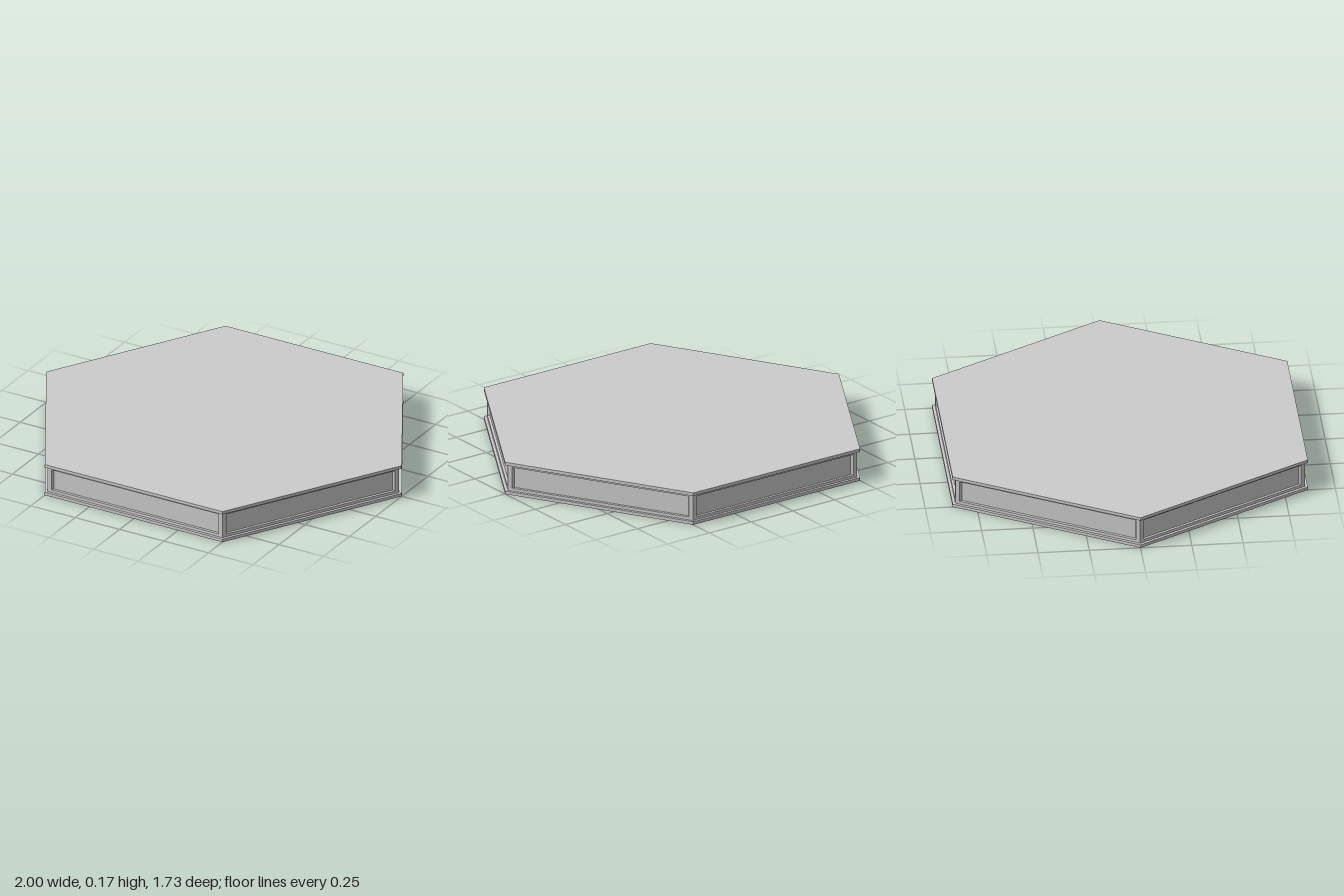
import * as THREE from 'three';

const HEIGHT = 0.166, PLATE = 0.016, APOTHEM = 0.852, RECESS = 0.012;
const HALF_EDGE = APOTHEM * Math.tan(Math.PI / 6);

// One flat wall facing +z, stepped inwards through nested rectangles and closed by the last one
function recessedWall() {
  const rects = [
    { w: HALF_EDGE, y0: PLATE, y1: HEIGHT - PLATE, z: APOTHEM },
    { w: 0.47, y0: 0.031, y1: 0.138, z: APOTHEM },
    { w: 0.462, y0: 0.032, y1: 0.137, z: APOTHEM - RECESS },
  ].map(({ w, y0, y1, z }) => [[-w, y0, z], [w, y0, z], [w, y1, z], [-w, y1, z]]);

  const points = [];
  const quad = (a, b, c, d) => points.push(...a, ...b, ...c, ...a, ...c, ...d);
  for (let r = 0; r < rects.length - 1; r++) {
    const outer = rects[r], inner = rects[r + 1];
    for (let i = 0; i < 4; i++) {
      const j = (i + 1) % 4;
      quad(outer[i], outer[j], inner[j], inner[i]);
    }
  }
  quad(...rects[rects.length - 1]);

  const geometry = new THREE.BufferGeometry();
  geometry.setAttribute('position', new THREE.Float32BufferAttribute(points, 3));
  geometry.computeVertexNormals();
  return geometry;
}

export function createModel() {
  const model = new THREE.Group();
  model.name = 'hexagonalPlatform';
  const material = new THREE.MeshStandardMaterial({ color: 0xcccccc, flatShading: true });

  // Top and bottom plates, slightly overhanging the core
  const plate = new THREE.CylinderGeometry(1, 1, PLATE, 6).rotateY(Math.PI / 6);
  for (const [name, y] of [['bottomPlate', PLATE / 2], ['topPlate', HEIGHT - PLATE / 2]]) {
    const mesh = new THREE.Mesh(plate, material);
    mesh.name = name;
    mesh.position.y = y;
    model.add(mesh);
  }

  // Six side walls with a recessed panel each
  const wall = recessedWall();
  for (let i = 0; i < 6; i++) {
    const mesh = new THREE.Mesh(wall, material);
    mesh.name = `sidePanel${i + 1}`;
    mesh.rotation.y = (i * Math.PI) / 3;
    model.add(mesh);
  }
  return model;
}
